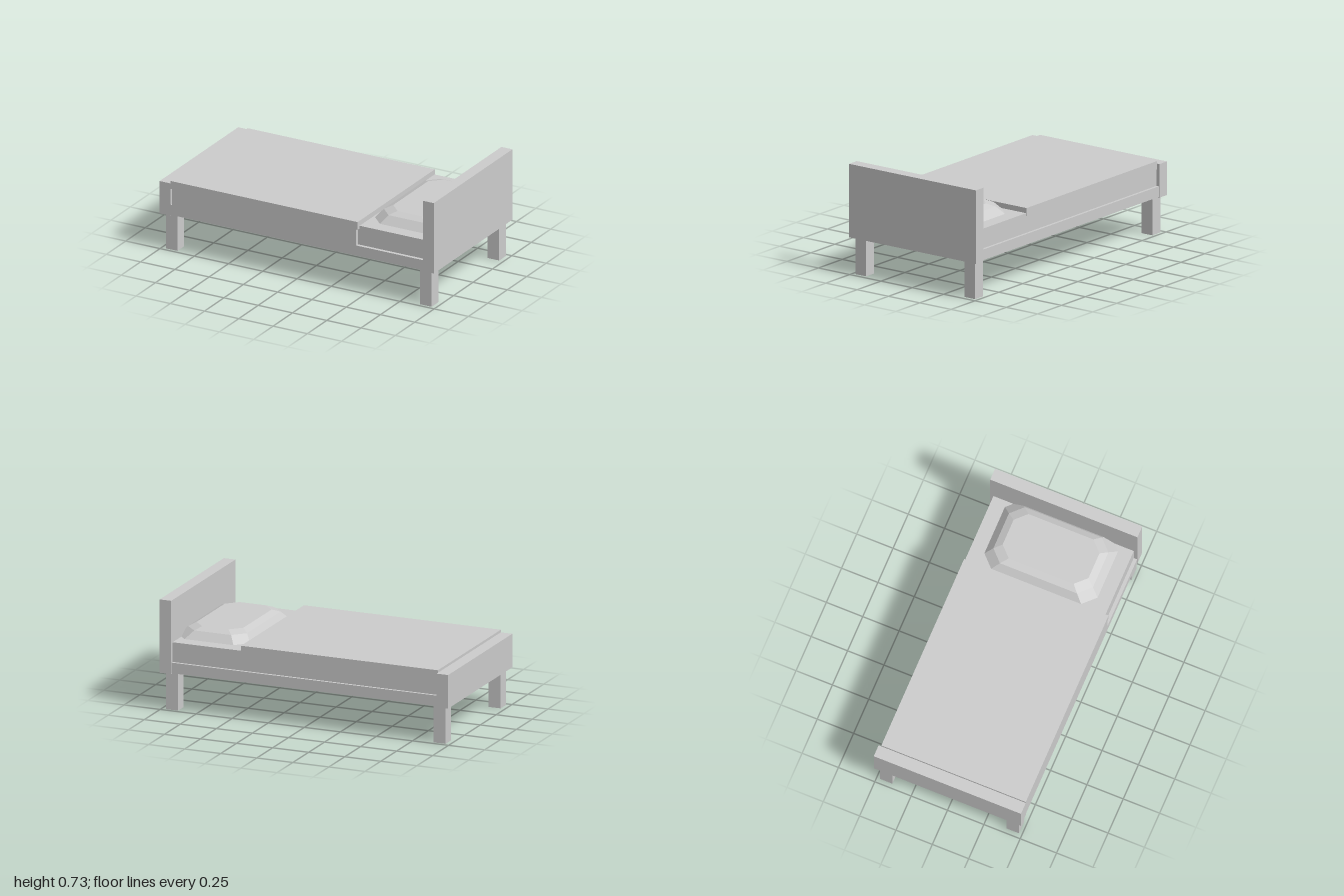
import * as THREE from 'three';

export function createModel() {
  const bed = new THREE.Group();
  bed.name = 'bed';
  const grey = new THREE.MeshStandardMaterial({ color: 0xcccccc });
  grey.name = 'light grey';

  // Box given by its limits on each axis
  function box(name, [x0, x1], [y0, y1], [z0, z1]) {
    const mesh = new THREE.Mesh(new THREE.BoxGeometry(x1 - x0, y1 - y0, z1 - z0), grey);
    mesh.position.set((x0 + x1) / 2, (y0 + y1) / 2, (z0 + z1) / 2);
    mesh.name = name;
    bed.add(mesh);
  }

  // Frame
  box('headboard', [0.92, 1], [0.245, 0.73], [-0.507, 0.505]);
  box('footboard', [-1, -0.92], [0.245, 0.467], [-0.507, 0.505]);
  box('bedBase', [-0.92, 0.92], [0.25, 0.32], [-0.503, 0.503]);

  // Legs
  for (const x of [-0.927, 0.927]) {
    for (const z of [-0.435, 0.435]) {
      box('leg', [x - 0.042, x + 0.042], [0, 0.25], [z - 0.043, z + 0.043]);
    }
  }

  // Mattress, with a blanket folded down over the front side only
  box('mattress', [-0.92, 0.92], [0.32, 0.45], [-0.485, 0.48]);
  box('blanketTop', [-0.92, 0.445], [0.43, 0.484], [-0.488, 0.505]);
  box('blanketSide', [-0.91, 0.432], [0.32, 0.43], [0.48, 0.503]);

  // Pillow: stacked eight-sided rings closed by a flat top and bottom
  const rings = [
    { y: 0.449, x0: 0.46, x1: 0.96, z: 0.39, cut: 0.08 },
    { y: 0.5, x0: 0.5, x1: 0.91, z: 0.342, cut: 0.077 },
    { y: 0.52, x0: 0.545, x1: 0.87, z: 0.295, cut: 0.072 },
  ].map(({ y, x0, x1, z, cut: c }) => [
    [x0, y, z - c], [x0 + c, y, z], [x1 - c, y, z], [x1, y, z - c],
    [x1, y, c - z], [x1 - c, y, -z], [x0 + c, y, -z], [x0, y, c - z],
  ]);
  const points = [];
  const tri = (a, b, c) => points.push(...a, ...b, ...c);
  for (let r = 0; r < rings.length - 1; r++) {
    for (let i = 0; i < 8; i++) {
      const j = (i + 1) % 8;
      tri(rings[r][i], rings[r][j], rings[r + 1][j]);
      tri(rings[r][i], rings[r + 1][j], rings[r + 1][i]);
    }
  }
  const [bottom, , top] = rings;
  for (let i = 1; i < 7; i++) {
    tri(top[0], top[i], top[i + 1]);
    tri(bottom[0], bottom[i + 1], bottom[i]);
  }
  const geometry = new THREE.BufferGeometry();
  geometry.setAttribute('position', new THREE.Float32BufferAttribute(points, 3));
  geometry.computeVertexNormals();
  const pillow = new THREE.Mesh(geometry, grey);
  pillow.name = 'pillow';
  bed.add(pillow);

  return bed;
}
